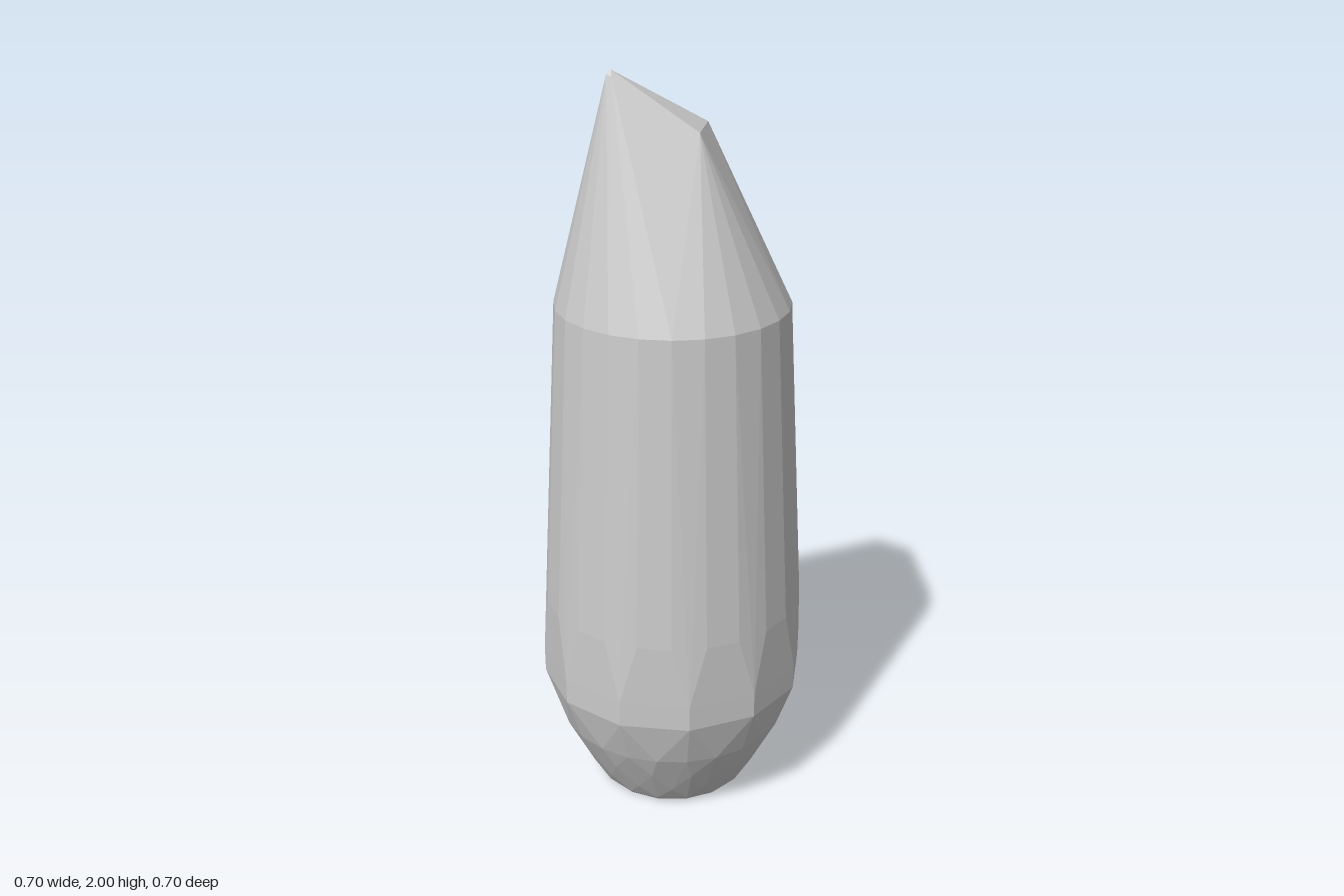
import * as THREE from 'three';
import { ConvexGeometry } from 'three/addons/geometries/ConvexGeometry.js';

// Points of a horizontal polygon
function ring(y, radius, sides, offset) {
  return Array.from({ length: sides }, (_, i) => {
    const a = ((i + offset) / sides) * Math.PI * 2;
    return new THREE.Vector3(Math.cos(a) * radius, y, Math.sin(a) * radius);
  });
}

export function createModel() {
  const group = new THREE.Group();
  group.name = 'crystalShard';
  const material = new THREE.MeshStandardMaterial({ color: 0xcccccc, flatShading: true });

  // Height, radius, sides and angular offset, from the flat foot to the shoulder
  const rings = [
    [0, 0.2, 16, 0.5],
    [0.012, 0.212, 16, 0.5],
    [0.06, 0.24, 16, 0],
    [0.13, 0.279, 16, 0.5],
    [0.2, 0.313, 24, 0],
    [0.33, 0.36, 12, 0.5],
    [0.4, 0.361, 12, 0.5],
    [0.57, 0.352, 24, 0.5],
    [1.4, 0.308, 24, 0.5],
  ];
  const points = rings.flatMap((r) => ring(...r));

  // Off-centre tip and the slanted cut beside it
  const tip = [
    [-0.16, 2, 0], [-0.172, 1.99, 0], [-0.163, 1.985, 0.012], [-0.162, 1.988, -0.012],
    [-0.142, 1.985, -0.017],
    [0.01, 1.862, -0.083], [0.08, 1.865, 0.035], [0.02, 1.858, 0.125],
  ];
  points.push(...tip.map((p) => new THREE.Vector3(...p)));

  // The faceted stone is the convex skin over all these points
  const stone = new THREE.Mesh(new ConvexGeometry(points), material);
  stone.name = 'facetedStone';
  group.add(stone);
  return group;
}
